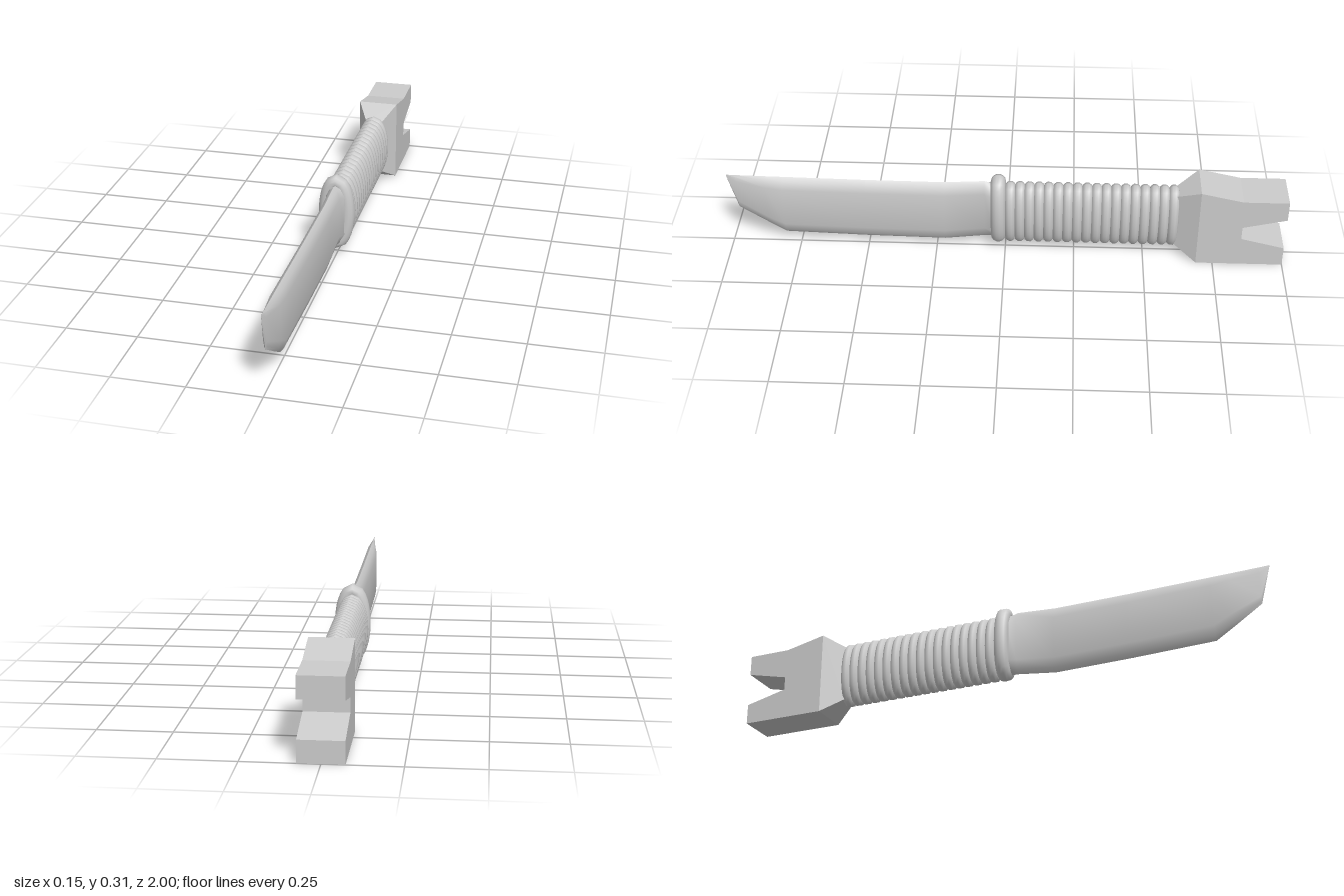
import * as THREE from 'three';
import { toCreasedNormals } from 'three/addons/utils/BufferGeometryUtils.js';

const material = new THREE.MeshStandardMaterial({ color: 0xcccccc });

function addMesh(group, name, geometry) {
  const mesh = new THREE.Mesh(geometry, material);
  mesh.name = name;
  group.add(mesh);
  return mesh;
}

// Round cord bent to an upright ellipse (rx, ry measured to the cord's centre)
function ovalRing(rx, ry, tube, sides) {
  const points = [];
  for (let i = 0; i < 24; i++) {
    const a = (i / 24) * Math.PI * 2;
    points.push(new THREE.Vector3(rx * Math.cos(a), ry * Math.sin(a), 0));
  }
  const path = new THREE.CatmullRomCurve3(points, true);
  return new THREE.TubeGeometry(path, 32, tube, sides, true);
}

// Skin closed cross-sections that run along +z, each counter-clockwise from +z
function loft(sections) {
  const n = sections[0].length;
  const positions = sections.flat(2);
  const index = [];
  for (let s = 0; s < sections.length - 1; s++) {
    for (let i = 0; i < n; i++) {
      const a = s * n + i, b = s * n + ((i + 1) % n);
      index.push(a, b, b + n, a, b + n, a + n);
    }
  }
  const last = (sections.length - 1) * n;
  for (let i = 1; i < n - 1; i++) {
    index.push(0, i + 1, i, last, last + i, last + i + 1);
  }
  const geometry = new THREE.BufferGeometry();
  geometry.setAttribute('position', new THREE.Float32BufferAttribute(positions, 3));
  geometry.setIndex(index);
  return geometry;
}

// Blade section: rounded spine, flat sides, bevelled cutting edge
function bladeSection([z, bottom, top, w]) {
  const h = top - bottom;
  const half = [
    [w * 0.5, bottom + h * 0.06], [w, bottom + h * 0.2],
    [w, top - h * 0.18], [w * 0.6, top - h * 0.05],
  ];
  const mirrored = half.map(([x, y]) => [-x, y]).reverse();
  return [[0, bottom], ...half, [0, top], ...mirrored].map(([x, y]) => [x, y, z]);
}

export function createModel() {
  const model = new THREE.Group();
  model.name = 'knife';

  // Blade: z, bottom, top, half width
  const profile = [
    [0.0, 0.045, 0.28, 0.038],
    [0.045, 0.045, 0.28, 0.037],
    [0.075, 0.045, 0.288, 0.022],
    [0.22, 0.027, 0.279, 0.022],
    [0.5, 0.032, 0.281, 0.022],
    [0.8, 0.042, 0.286, 0.022],
    [0.86, 0.08, 0.287, 0.021],
    [0.965, 0.15, 0.289, 0.006],
    [1.0, 0.285, 0.29, 0.0005],
  ];
  addMesh(model, 'blade', toCreasedNormals(loft(profile.map(bladeSection)), 0.75));

  // Guard
  addMesh(model, 'guard', ovalRing(0.038, 0.118, 0.027, 14)).position.set(0, 0.17, 0.025);

  // Grip core with wrapped cord
  const core = new THREE.CylinderGeometry(1, 1, 0.64, 32);
  core.rotateX(Math.PI / 2).scale(0.045, 0.113, 1);
  addMesh(model, 'gripCore', core).position.set(0, 0.157, -0.29);

  const wrap = new THREE.Group();
  wrap.name = 'gripWrap';
  model.add(wrap);
  const cord = ovalRing(0.041, 0.109, 0.019, 10);
  const turns = 18;
  for (let i = 0; i < turns; i++) {
    addMesh(wrap, 'cordTurn', cord).position.set(0, 0.157, -0.018 - (i * 0.583) / (turns - 1));
  }

  // Forked pommel: side outline as (-z, y), extruded across the width
  const outline = [
    [0.69, 0], [1, 0], [1, 0.075], [0.845, 0.113],
    [0.845, 0.163], [1, 0.2], [1, 0.275], [0.84, 0.275], [0.69, 0.308],
  ];
  const shape = new THREE.Shape(outline.map(([x, y]) => new THREE.Vector2(x, y)));
  const width = 0.148;
  const fork = new THREE.ExtrudeGeometry(shape, { depth: width, bevelEnabled: false });
  fork.translate(0, 0, -width / 2).rotateY(Math.PI / 2);
  addMesh(model, 'pommelFork', fork);

  // Neck that flares from the grip into the fork
  const rect = (z, w, bottom, top) => [[-w, bottom, z], [w, bottom, z], [w, top, z], [-w, top, z]];
  const neck = loft([rect(-0.69, 0.074, 0, 0.308), rect(-0.61, 0.032, 0.05, 0.262)]);
  addMesh(model, 'pommelNeck', toCreasedNormals(neck, 0.3));

  return model;
}
